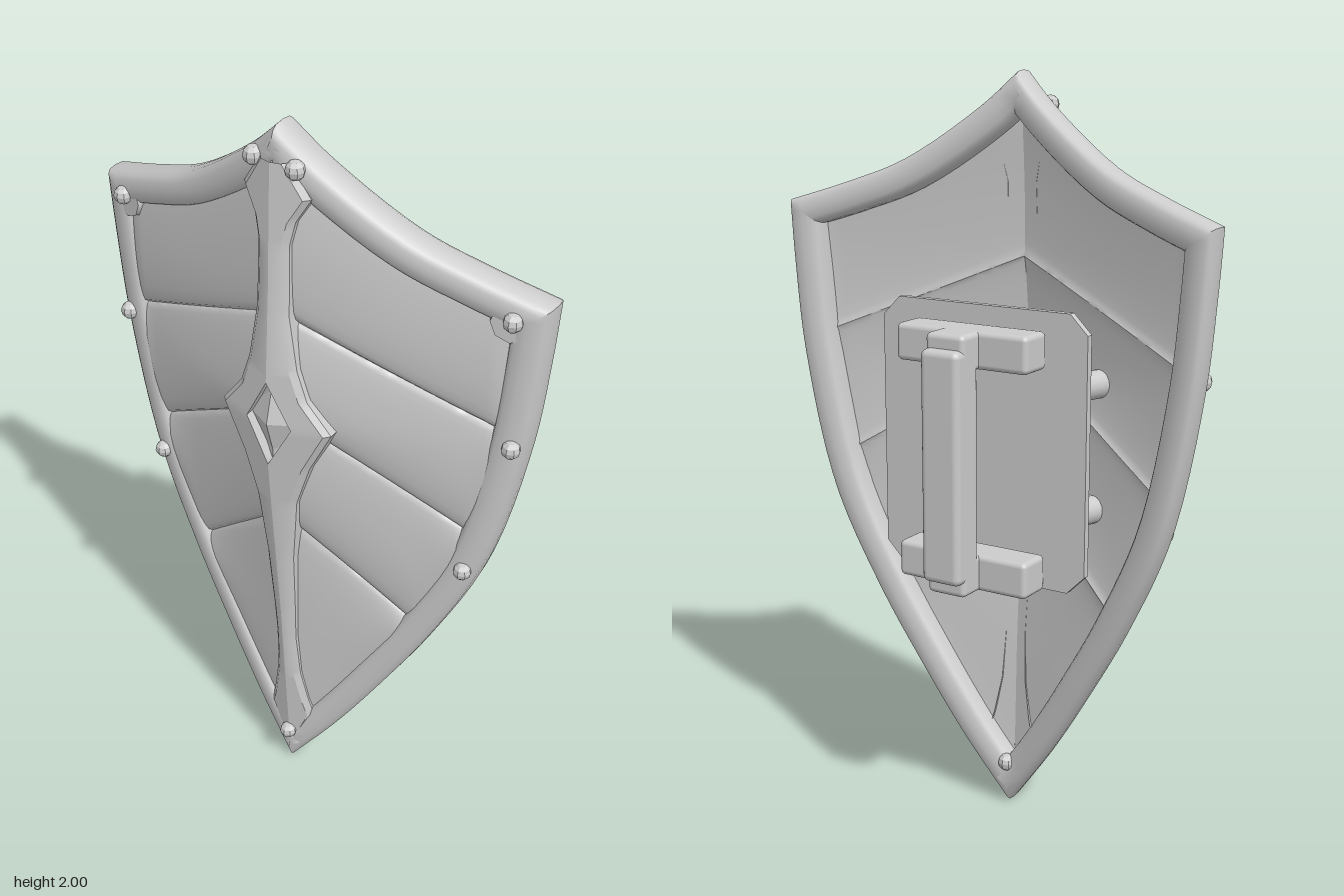
import * as THREE from 'three';
import { toCreasedNormals } from 'three/addons/utils/BufferGeometryUtils.js';
import { RoundedBoxGeometry } from 'three/addons/geometries/RoundedBoxGeometry.js';

const material = new THREE.MeshStandardMaterial({ color: 0xcccccc });
const doubleSided = new THREE.MeshStandardMaterial({ color: 0xcccccc, side: THREE.DoubleSide });

// Right half of the outline: side edge from the tip up, then top edge to the apex
const smooth = (pts, n) =>
  new THREE.CatmullRomCurve3(pts.map(([x, y]) => new THREE.Vector3(x, y, 0))).getPoints(n).map(p => [p.x, p.y]);
const side = smooth([[0, 0], [0.13, 0.18], [0.255, 0.38], [0.38, 0.6], [0.505, 0.88], [0.585, 1.25], [0.61, 1.5], [0.62, 1.66]], 36);
const topEdge = smooth([[0.62, 1.66], [0.45, 1.715], [0.3, 1.775], [0.1, 1.91], [0, 2]], 20);

// Piecewise linear lookup in [key, value] pairs with rising keys
function lookup(pts, k) {
  if (k <= pts[0][0]) return pts[0][1];
  for (let i = 1; i < pts.length; i++) {
    const [k0, v0] = pts[i - 1], [k1, v1] = pts[i];
    if (k <= k1) return v0 + (v1 - v0) * (k - k0) / (k1 - k0);
  }
  return pts[pts.length - 1][1];
}
const topByX = [...topEdge].reverse();
const sideByY = side.map(([x, y]) => [y, x]);

// Folded plane of the rim, and height of the central spine
const rimZ = (x, y) => 0.118 + 0.015 * y - 0.235 * Math.abs(x);
const spineZ = y => lookup([[0.1, 0.165], [0.6, 0.195], [1, 0.228], [1.24, 0.246], [1.6, 0.22], [1.95, 0.202]], y);
const spineWidth = y => lookup([[0.1, 0.03], [0.2, 0.07], [0.26, 0.055], [0.36, 0.037], [0.5, 0.03], [0.8, 0.04],
  [1, 0.06], [1.12, 0.098], [1.24, 0.157], [1.32, 0.095], [1.4, 0.068], [1.54, 0.045], [1.72, 0.042],
  [1.78, 0.055], [1.84, 0.09], [1.92, 0.04]], y);

// Surface through a grid of points given by fn(i, j)
function grid(n, m, fn, flip, crease) {
  const pos = [], idx = [];
  for (let i = 0; i <= n; i++) for (let j = 0; j <= m; j++) pos.push(...fn(i, j));
  for (let i = 0; i < n; i++) for (let j = 0; j < m; j++) {
    const a = i * (m + 1) + j, b = a + m + 1, c = b + 1, d = a + 1;
    idx.push(...(flip ? [a, c, b, a, d, c] : [a, b, c, a, c, d]));
  }
  const g = new THREE.BufferGeometry();
  g.setAttribute('position', new THREE.Float32BufferAttribute(pos, 3));
  g.setIndex(idx);
  return toCreasedNormals(g, crease);
}

// Rim: rounded section swept round the mitred outline
function rimGeometry() {
  const half = [...side, ...topEdge.slice(1)];
  const loop = [...half, ...half.slice(1, -1).reverse().map(([x, y]) => [-x, y])];
  const n = loop.length, m = 16;
  const normal = (a, b) => {
    const dx = b[0] - a[0], dy = b[1] - a[1], l = Math.hypot(dx, dy);
    return [-dy / l, dx / l];
  };
  const pow = v => Math.sign(v) * Math.abs(v) ** 0.65;
  return grid(n, m, (i, j) => {
    const p = loop[i % n];
    const n1 = normal(loop[(i + n - 1) % n], p), n2 = normal(p, loop[(i + 1) % n]);
    const k = 1 + n1[0] * n2[0] + n1[1] * n2[1];
    const a = (j % m) / m * Math.PI * 2;
    const d = 0.043 + 0.043 * pow(Math.cos(a));
    const x = p[0] + (n1[0] + n2[0]) / k * d, y = p[1] + (n1[1] + n2[1]) / k * d;
    return [x, y, rimZ(x, y) + 0.048 * pow(Math.sin(a))];
  }, true, 0.75);
}

// Panels: four padded bands per half, parted by slanting grooves
const bandSteps = [0, 0.03, 0.08, 0.16, 0.3, 0.45, 0.6, 0.75, 0.88, 0.95, 0.985, 1];
function panelGeometry(sx, back) {
  const columns = 28, steps = bandSteps.length;
  return grid(columns, steps * 4 - 1, (i, j) => {
    const u = i / columns, x = u * 0.575;
    const low = lookup(side, x + 0.045), high = lookup(topByX, x) - 0.045;
    const clampY = y => Math.min(high, Math.max(low, y));
    const cuts = [low, clampY(0.93 - 0.88 * x), clampY(1.27 - 0.62 * x), clampY(1.53 - 0.42 * x), high];
    const band = Math.floor(j / steps), t = bandSteps[j % steps];
    const length = cuts[band + 1] - cuts[band], y = cuts[band] + length * t;
    // pad is fullest near its lower edge, overlapping the band below
    const pad = 0.026 * Math.sin(Math.PI * t) ** 0.4 * (1.05 - 0.35 * t)
      * Math.min(1, length / 0.08) * Math.min(1, (1 - u) * 10);
    const reach = Math.max(0.05, lookup(sideByY, y));
    const rise = Math.max(0, spineZ(y) - 0.045 - rimZ(0, y) - 0.015) * Math.max(0, 1 - x / reach);
    const z = rimZ(x, y) + 0.015 + rise + (back ? pad * 0.5 - 0.025 : pad);
    return [sx * x, y, z];
  }, (sx < 0) !== back, 0.7);
}

// Spine: raised strip with a diamond opening, one half at a time
function spineGeometry(sx) {
  return grid(90, 4, (i, j) => {
    const y = 0.12 + i * 0.02, w = spineWidth(y);
    const h = Math.max(0, 0.064 * (1 - Math.abs(y - 1.24) / 0.12));
    const [x, drop] = [[h, 0.05], [h, 0], [w - 0.014, 0], [w, 0.012], [w, 0.06]][j];
    return [sx * x, y, spineZ(y) - 0.25 * x - drop];
  }, sx > 0, 0.6);
}

export function createModel() {
  const shield = new THREE.Group();
  shield.name = 'shield';
  const add = (name, geometry, x = 0, y = 0, z = 0, mat = material) => {
    const mesh = new THREE.Mesh(geometry, mat);
    mesh.name = name;
    mesh.position.set(x, y, z);
    shield.add(mesh);
    return mesh;
  };

  add('rim', rimGeometry());
  for (const [label, sx] of [['left', 1], ['right', -1]]) {
    add(label + 'PanelFront', panelGeometry(sx, false));
    add(label + 'PanelBack', panelGeometry(sx, true));
    add(label + 'Spine', spineGeometry(sx), 0, 0, 0, doubleSided);
    // Small corner plate under the upper rivet
    const plate = add(label + 'CornerPlate', new THREE.CylinderGeometry(0.048, 0.055, 0.03, 8),
      sx * 0.535, 1.615, rimZ(0.535, 1.615) + 0.03);
    plate.rotation.set(Math.PI / 2, 0, -sx * 0.23);
  }

  // Faceted gem set in the diamond opening
  const gem = new THREE.ConeGeometry(1, 0.034, 4).rotateX(Math.PI / 2).scale(0.066, 0.122, 1);
  add('gem', toCreasedNormals(gem, 0.1), 0, 1.24, 0.222);

  // Rivets round the rim
  const rivets = [[-0.058, 1.915], [0.055, 1.908], [0, 0.125]];
  for (const sx of [1, -1]) rivets.push([sx * 0.545, 1.625], [sx * 0.562, 1.28], [sx * 0.467, 0.875]);
  const rivet = toCreasedNormals(new THREE.SphereGeometry(0.024, 8, 6), 0.3);
  for (const [x, y] of rivets) add('rivet', rivet, x, y, rimZ(x, y) + 0.05);
  add('rivetBack', rivet, 0, 0.125, rimZ(0, 0.125) - 0.045);

  // Back plate with clipped corners
  const w = 0.303, h = 0.36, c = 0.05;
  const shape = new THREE.Shape([[w - c, -h], [w, c - h], [w, h - c], [w - c, h], [c - w, h], [-w, h - c], [-w, c - h], [c - w, -h]]
    .map(([x, y]) => new THREE.Vector2(x, y)));
  add('backPlate', new THREE.ExtrudeGeometry(shape, { depth: 0.02, bevelEnabled: false }), 0, 1.072, -0.05);

  // Posts joining the plate to the panels
  for (const y of [0.9, 1.23]) {
    for (const [x0, x1] of [[0.165, 0.172], [-0.21, -0.255]]) {
      const from = new THREE.Vector3(x0, y, -0.035), to = new THREE.Vector3(x1, y, 0.11);
      const path = new THREE.LineCurve3(from, to);
      add('post', new THREE.TubeGeometry(path, 1, 0.037, 16));
    }
  }

  // Handle: two brackets with spacers and an upright grip
  for (const y of [0.76, 1.337]) {
    add('bracket', new RoundedBoxGeometry(0.384, 0.096, 0.1, 3, 0.014), 0, y, -0.105);
    add('spacer', new RoundedBoxGeometry(0.112, 0.096, 0.1, 3, 0.014), 0, y, -0.175);
  }
  add('grip', new RoundedBoxGeometry(0.112, 0.6, 0.1, 3, 0.018), 0, 1.048, -0.203);

  return shield;
}
